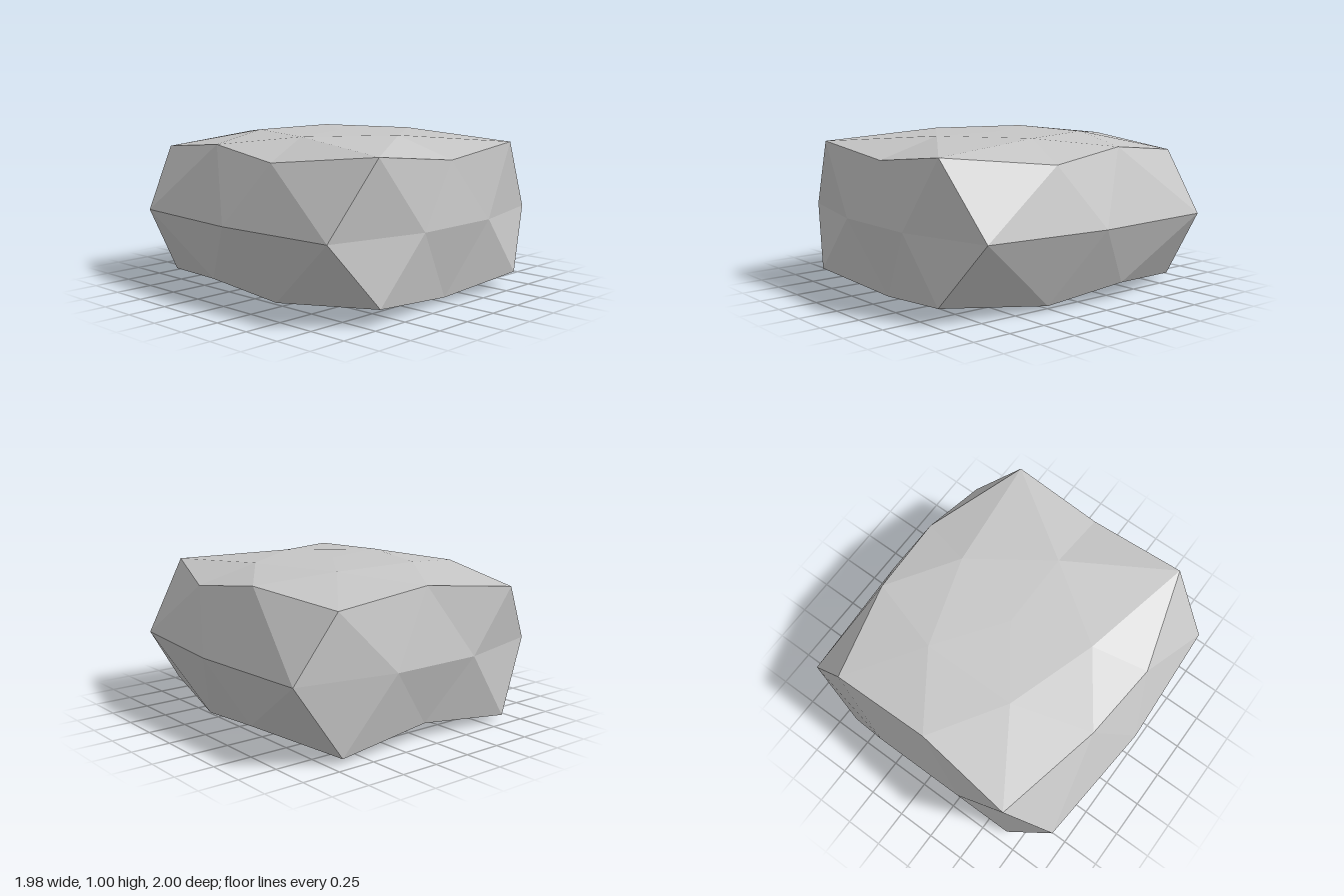
import * as THREE from 'three';

// Cross-section rings as [x, z], running from +x towards +z
const crownRing = [[0.51, 0], [0.16, 0.5], [-0.43, 0.31], [-0.43, -0.31], [0.16, -0.5]];
const shoulderRing = [
  [0.93, 0], [0.93, 0.65], [0.27, 0.85], [-0.27, 0.81], [-0.965, 0.65],
  [-0.89, 0], [-0.89, -0.67], [-0.27, -0.81], [0.27, -0.85], [0.93, -0.6],
];
const girthRing = [
  [0.985, 0.31], [0.83, 0.955], [0, 1], [-0.83, 0.93], [-0.99, 0.31],
  [-0.99, -0.31], [-0.86, -0.96], [0, -1], [0.83, -0.91], [0.985, -0.31],
];
const footRing = [
  [0.89, 0], [0.965, 0.67], [0.25, 0.8], [-0.28, 0.85], [-0.93, 0.65],
  [-0.89, 0], [-0.92, -0.66], [-0.28, -0.85], [0.28, -0.79], [0.965, -0.63],
];
const soleRing = [[0.43, 0.31], [-0.16, 0.5], [-0.51, 0], [-0.16, -0.5], [0.43, -0.31]];

// Lift a ring to its height; even and odd corners may differ
const lift = (ring, even, odd = even) =>
  ring.map(([x, z], i) => [x, i % 2 ? odd : even, z]);

function boulderGeometry() {
  const top = [0, 1, 0];
  const bottom = [0, 0, 0];
  const crown = lift(crownRing, 0.997);
  const shoulder = lift(shoulderRing, 0.875, 0.943);
  const girth = lift(girthRing, 0.486);
  const foot = lift(footRing, 0.03, 0.098);
  const sole = lift(soleRing, 0.008);

  const points = [];
  const face = (a, b, c) => points.push(...a, ...b, ...c);

  // Top and bottom caps, each with the band around it
  for (let k = 0; k < 5; k++) {
    const n = (k + 1) % 5;
    const s = [0, 1, 2].map((i) => shoulder[(2 * k + i) % 10]);
    face(top, crown[n], crown[k]);
    face(crown[k], s[1], s[0]);
    face(crown[k], crown[n], s[1]);
    face(crown[n], s[2], s[1]);

    const f = [1, 2, 3].map((i) => foot[(2 * k + i) % 10]);
    face(bottom, sole[k], sole[n]);
    face(sole[k], f[0], f[1]);
    face(sole[k], f[1], sole[n]);
    face(sole[n], f[1], f[2]);
  }

  // Upper and lower side bands meeting at the girth
  for (let j = 0; j < 10; j++) {
    const n = (j + 1) % 10;
    face(shoulder[j], shoulder[n], girth[j]);
    face(shoulder[n], girth[n], girth[j]);
    face(foot[j], girth[j], foot[n]);
    face(foot[n], girth[j], girth[n]);
  }

  const geometry = new THREE.BufferGeometry();
  geometry.setAttribute('position', new THREE.Float32BufferAttribute(points, 3));
  geometry.computeVertexNormals();
  return geometry;
}

export function createModel() {
  const stone = new THREE.MeshStandardMaterial({ color: 0xc6c6c6 });
  stone.name = 'stone grey';
  stone.flatShading = true;

  const boulder = new THREE.Mesh(boulderGeometry(), stone);
  boulder.name = 'boulder';

  const model = new THREE.Group();
  model.name = 'rock';
  model.add(boulder);
  return model;
}
